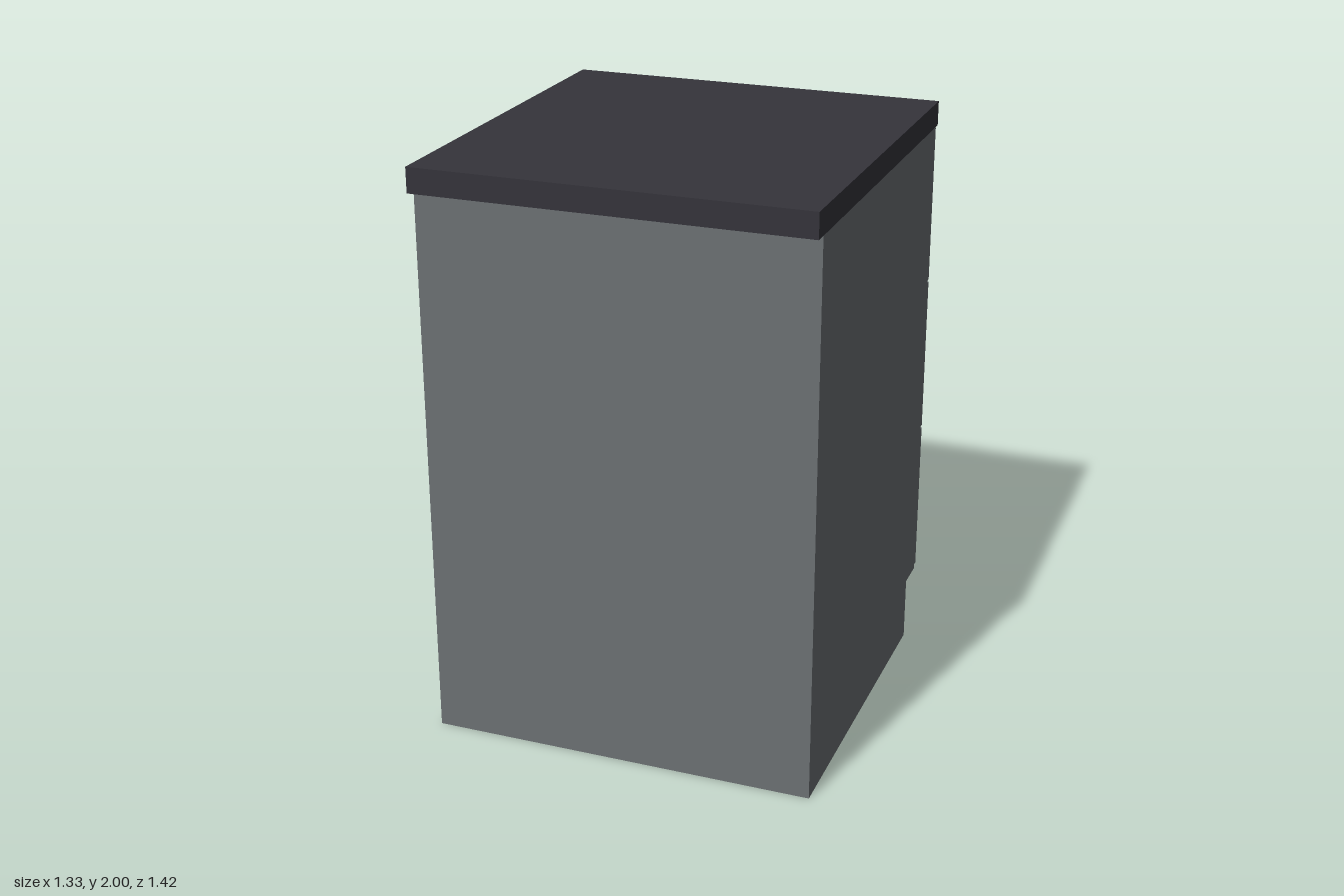
import * as THREE from 'three';

export function createModel() {
  const group = new THREE.Group();
  const cabinetGrey = new THREE.MeshStandardMaterial({ color: 0x6b7073 });
  const worktopDark = new THREE.MeshStandardMaterial({ color: 0x35343b });
  cabinetGrey.name = 'cabinetGrey';
  worktopDark.name = 'worktopDark';

  const add = (name, geometry, material, x, y, z) => {
    const mesh = new THREE.Mesh(geometry, material);
    mesh.name = name;
    mesh.position.set(x, y, z);
    group.add(mesh);
    return mesh;
  };

  const halfWidth = 0.665;
  const topBase = 1.915;

  // Carcass: side profile with a toe-kick notch, extruded across the width
  const profile = new THREE.Shape([
    [-0.665, 0], [0.51, 0], [0.51, 0.225], [0.622, 0.225], [0.622, topBase], [-0.665, topBase],
  ].map(([a, b]) => new THREE.Vector2(a, b)));
  const carcass = new THREE.ExtrudeGeometry(profile, { depth: halfWidth * 2, bevelEnabled: false });
  carcass.translate(0, 0, -halfWidth);
  carcass.rotateY(Math.PI / 2); // profile's first axis becomes -z
  add('carcass', carcass, cabinetGrey, 0, 0, 0);

  // Worktop slab
  add('worktop', new THREE.BoxGeometry(halfWidth * 2, 2 - topBase, 1.375), worktopDark,
    0, (2 + topBase) / 2, 0.0225);

  // Three drawers with bar handles on the -z side
  const frontGeometry = new THREE.BoxGeometry(1.32, 0.553, 0.036);
  const handleGeometry = new THREE.CylinderGeometry(0.009, 0.009, 0.44, 16);
  handleGeometry.rotateZ(Math.PI / 2);
  for (let i = 0; i < 3; i++) {
    const y = 0.507 + i * 0.5625;
    add('drawerFront' + (i + 1), frontGeometry, cabinetGrey, 0, y, -0.642);
    add('drawerHandle' + (i + 1), handleGeometry, cabinetGrey, 0, y, -0.7);
  }

  return group;
}
